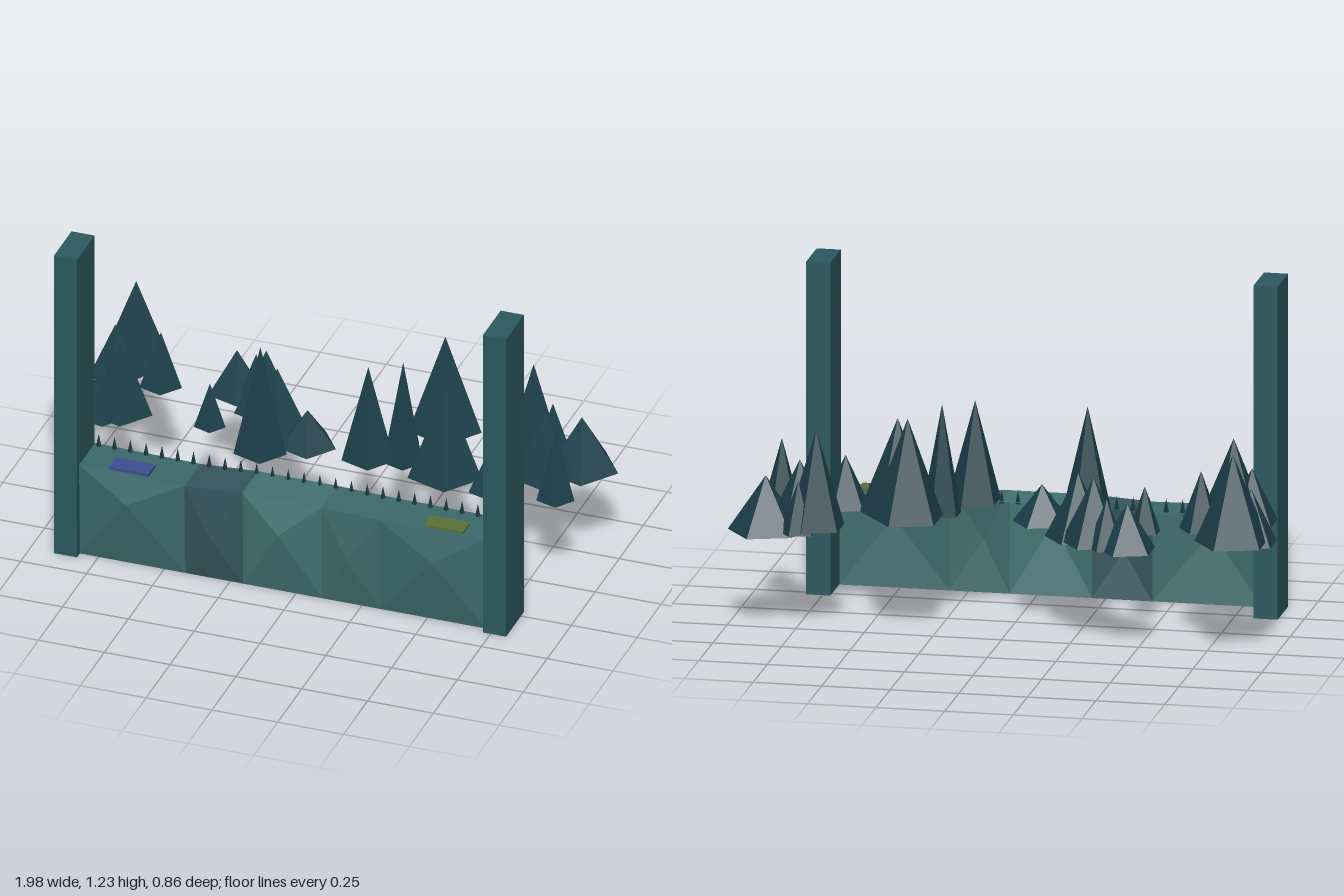
import * as THREE from 'three';

const mat = (color, extra = {}) =>
  new THREE.MeshStandardMaterial({ color, flatShading: true, ...extra });

function addMesh(parent, name, geometry, material, x, y, z) {
  const mesh = new THREE.Mesh(geometry, material);
  mesh.name = name;
  mesh.position.set(x, y, z);
  parent.add(mesh);
  return mesh;
}

// Open sheet built from triangles, each a list of three corners
function sheet(triangles) {
  const g = new THREE.BufferGeometry();
  g.setAttribute('position', new THREE.Float32BufferAttribute(triangles.flat(2), 3));
  g.computeVertexNormals();
  return g;
}

export function createModel() {
  const model = new THREE.Group();
  model.name = 'ledgeWithTrees';

  // Two tall square posts
  const postMat = mat(0x2b5a60);
  for (const [name, x] of [['rightPost', -0.865], ['leftPost', 0.765]])
    addMesh(model, name, new THREE.BoxGeometry(0.088, 1.23, 0.185), postMat, x, 0.615, 0.3125);

  // Faceted rock wall with a top ledge, open at the back and bottom
  const wall = new THREE.Group();
  wall.name = 'rockWall';
  model.add(wall);
  const xs = [-0.82, -0.42, -0.2, 0.1, 0.32, 0.72];
  const tops = [0.372, 0.366, 0.38, 0.38, 0.374, 0.372];
  const peaks = [ // x, y, z of each bulge
    [-0.63, 0.26, 0.418], [-0.31, 0.17, 0.405], [-0.05, 0.255, 0.425],
    [0.2, 0.19, 0.4], [0.53, 0.25, 0.412],
  ];
  const colors = [0x3c6a6c, 0x34565f, 0x427273, 0x3f6a6c, 0x3c6a6c];
  peaks.forEach((peak, i) => {
    const [x0, x1, y0, y1] = [xs[i], xs[i + 1], tops[i], tops[i + 1]];
    const a = [x0, 0, 0.375], b = [x1, 0, 0.375];
    const c = [x1, y1, 0.386], d = [x0, y0, 0.386];
    const e = [x1, y1, 0.22], f = [x0, y0, 0.22];
    const g = sheet([
      [a, b, peak], [b, c, peak], [c, d, peak], [d, a, peak],
      [d, c, e], [d, e, f],
    ]);
    addMesh(wall, 'rockFacet', g, mat(colors[i], { side: THREE.DoubleSide }), 0, 0, 0);
  });

  // Coloured plates set in the ledge
  const plate = new THREE.BoxGeometry(0.15, 0.012, 0.072);
  addMesh(model, 'bluePlate', plate, mat(0x3e4f93), -0.635, 0.374, 0.338);
  addMesh(model, 'greenPlate', plate, mat(0x5a7136), 0.56, 0.376, 0.338);

  // Row of small spikes along the back of the ledge
  const spikeGeo = new THREE.ConeGeometry(0.01, 0.05, 4);
  const spikeMat = mat(0x1b3a42);
  const spikes = new THREE.Group();
  spikes.name = 'spikes';
  model.add(spikes);
  for (let i = 0; i < 26; i++)
    addMesh(spikes, 'spike', spikeGeo, spikeMat, -0.8 + i * 0.06, 0.397, 0.235);

  // Five-sided trees: x, z, radius, base height, tip height
  const trees = [
    [-0.855, -0.305, 0.14, 0.42, 0.745], [-0.905, -0.225, 0.1, 0.4, 0.6],
    [-0.71, -0.165, 0.08, 0.425, 0.64], [-0.785, 0.045, 0.12, 0.42, 0.71],
    [-0.85, 0.055, 0.1, 0.4, 0.6],
    [-0.47, -0.3, 0.108, 0.37, 0.54], [-0.39, -0.28, 0.075, 0.37, 0.55],
    [-0.33, -0.22, 0.12, 0.37, 0.61], [-0.255, -0.13, 0.122, 0.36, 0.6],
    [-0.48, -0.045, 0.06, 0.37, 0.54], [-0.25, 0.06, 0.1, 0.37, 0.795],
    [-0.1, -0.02, 0.108, 0.38, 0.52],
    [0.16, 0.06, 0.1, 0.425, 0.795], [0.265, -0.015, 0.075, 0.39, 0.795],
    [0.43, 0, 0.14, 0.38, 0.73], [0.345, -0.235, 0.138, 0.425, 0.795],
    [0.63, 0.05, 0.092, 0.38, 0.57], [0.855, 0.015, 0.072, 0.37, 0.63],
    [0.675, -0.25, 0.11, 0.38, 0.74], [0.86, -0.245, 0.138, 0.355, 0.56],
    [0.755, -0.15, 0.12, 0.355, 0.6], [0.73, -0.3, 0.07, 0.37, 0.56],
  ];
  const treeMat = mat(0x1d404b);
  const grove = new THREE.Group();
  grove.name = 'trees';
  model.add(grove);
  for (const [x, z, r, base, tip] of trees) {
    const cone = new THREE.ConeGeometry(r, tip - base, 5).rotateY(Math.PI / 2);
    addMesh(grove, 'tree', cone, treeMat, x, (base + tip) / 2, z);
  }
  return model;
}
